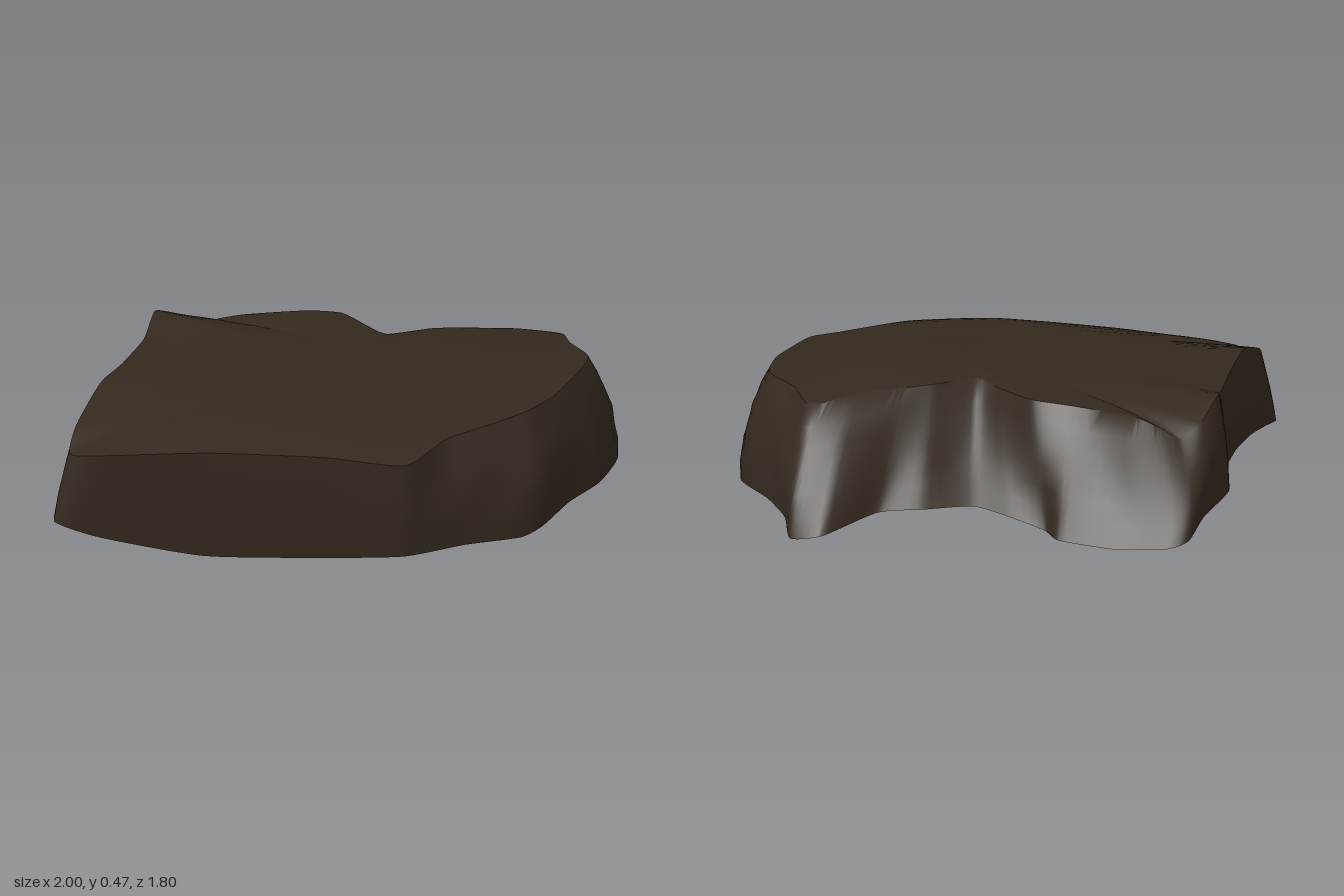
import * as THREE from 'three';
import { toCreasedNormals } from 'three/addons/utils/BufferGeometryUtils.js';

const STONE = new THREE.MeshStandardMaterial({ color: 0x33291e });
STONE.name = 'dark brown stone';
const LABEL = new THREE.MeshStandardMaterial({ color: 0xcccccc });
LABEL.name = 'light grey';

// Matching lower and upper rims (x, y, z), from the left corner round the front
const LOWER = [
  [-1, .08, .055], [-.89, .035, .15], [-.65, 0, .38], [-.38, .03, .66], [-.2, .06, .85],
  [0, .07, .88], [.2, .06, .89], [.3, .07, .86], [.47, .08, .74], [.63, .09, .66],
  [.8, .09, .49], [.88, .09, .26], [.94, .07, .1], [1, .03, 0], [.95, .05, -.1],
  [.73, .09, -.1], [.62, .1, -.19], [.47, .1, -.26], [.42, .08, -.38], [.37, .05, -.5],
  [.39, .04, -.58], [.3, .03, -.75], [.2, .04, -.88], [.13, .06, -.905], [0, .1, -.82],
  [-.2, .13, -.7], [-.32, .14, -.53], [-.52, .14, -.34], [-.7, .13, -.19], [-.88, .1, -.04],
];
const UPPER = [
  [-.95, .3, .07], [-.91, .32, .18], [-.66, .36, .43], [-.4, .38, .7], [-.21, .37, .87],
  [-.02, .4, .8], [.16, .41, .78], [.3, .42, .76], [.44, .42, .69], [.58, .43, .59],
  [.71, .43, .46], [.74, .42, .3], [.79, .4, .18], [.77, .4, .14], [.66, .42, .1],
  [.52, .43, .04], [.42, .435, 0], [.27, .435, -.03], [.27, .425, -.15], [.27, .42, -.3],
  [.2, .41, -.4], [.06, .38, -.54], [.01, .35, -.62], [-.02, .32, -.68], [-.09, .36, -.69],
  [-.22, .42, -.62], [-.34, .39, -.49], [-.53, .4, -.31], [-.69, .41, -.175], [-.87, .35, -.025],
];

const { smoothstep } = THREE.MathUtils;
const rim = (pts) =>
  new THREE.CatmullRomCurve3(pts.map((p) => new THREE.Vector3(...p)), true, 'catmullrom', .3);

// Flat top with a low swelling towards the front right
const crown = (x, z) => .42 + .05 * Math.exp(-((x - .27) ** 2 + (z - .25) ** 2) / .11);

// Slab skinned over rings: underside, lower rim, broken side, upper rim, top
function slabGeometry() {
  const lowMid = new THREE.Vector3(.15, .13, .28);
  const topMid = new THREE.Vector3(.15, crown(.15, .28), .28);
  const lower = rim(LOWER), upper = rim(UPPER);
  const under = [.2, .4, .6, .8, .93], side = [0, .17, .33, .5, .67, .83, 1];
  const over = [.96, .9, .82, .7, .55, .4, .25, .12];
  const N = 180, rows = under.length + side.length + over.length;
  const positions = [], indices = [];

  for (let i = 0; i < N; i++) {
    const lo = lower.getPoint(i / N), hi = upper.getPoint(i / N);
    const out = new THREE.Vector3(lo.x - lowMid.x, 0, lo.z - lowMid.z).normalize();
    const ring = [];
    for (const t of under) {
      const p = lowMid.clone().lerp(lo, t);
      p.y = lowMid.y + (lo.y - lowMid.y) * t ** 1.3;
      ring.push(p);
    }
    // straight cut on the left, rounded fracture on the right, hollow in the notch
    const broken = smoothstep(lo.x, -.3, .1);
    const notch = smoothstep(.4 - Math.hypot(lo.x - .5, lo.z + .3), 0, .2);
    for (const t of side) {
      const p = lo.clone().lerp(hi, t);
      const rough = Math.sin(p.x * 23 + p.y * 17) * Math.sin(p.z * 21 - p.y * 25);
      const bulge = .005 + broken * (.025 + .01 * rough) - .045 * notch;
      ring.push(p.addScaledVector(out, Math.sin(t * Math.PI) * bulge));
    }
    // the top follows the crown and drops to the rim near the edge
    const drop = hi.y - crown(hi.x, hi.z);
    for (const t of over) {
      const p = topMid.clone().lerp(hi, t);
      p.y = crown(p.x, p.z) + drop * t ** 3.5;
      ring.push(p);
    }
    for (const p of ring) positions.push(p.x, Math.max(0, p.y), p.z);
  }

  const bottom = N * rows, top = bottom + 1;
  positions.push(...lowMid.toArray(), ...topMid.toArray());
  for (let i = 0; i < N; i++) {
    const a = i * rows, b = ((i + 1) % N) * rows;
    indices.push(bottom, b, a, a + rows - 1, b + rows - 1, top);
    for (let r = 0; r < rows - 1; r++) {
      indices.push(a + r, b + r, b + r + 1, a + r, b + r + 1, a + r + 1);
    }
  }
  const geo = new THREE.BufferGeometry();
  geo.setAttribute('position', new THREE.Float32BufferAttribute(positions, 3));
  geo.setIndex(indices);
  return toCreasedNormals(geo, .8);
}

export function createModel() {
  const group = new THREE.Group();
  group.name = 'stoneFragment';

  const slab = new THREE.Mesh(slabGeometry(), STONE);
  slab.name = 'brokenSlab';
  group.add(slab);

  // Small plain marker strip under the front right edge
  const strip = new THREE.Mesh(new THREE.BoxGeometry(.32, .009, .07), LABEL);
  strip.name = 'markerStrip';
  strip.position.set(.58, .096, .52);
  strip.rotation.y = Math.PI / 4;
  group.add(strip);

  return group;
}
